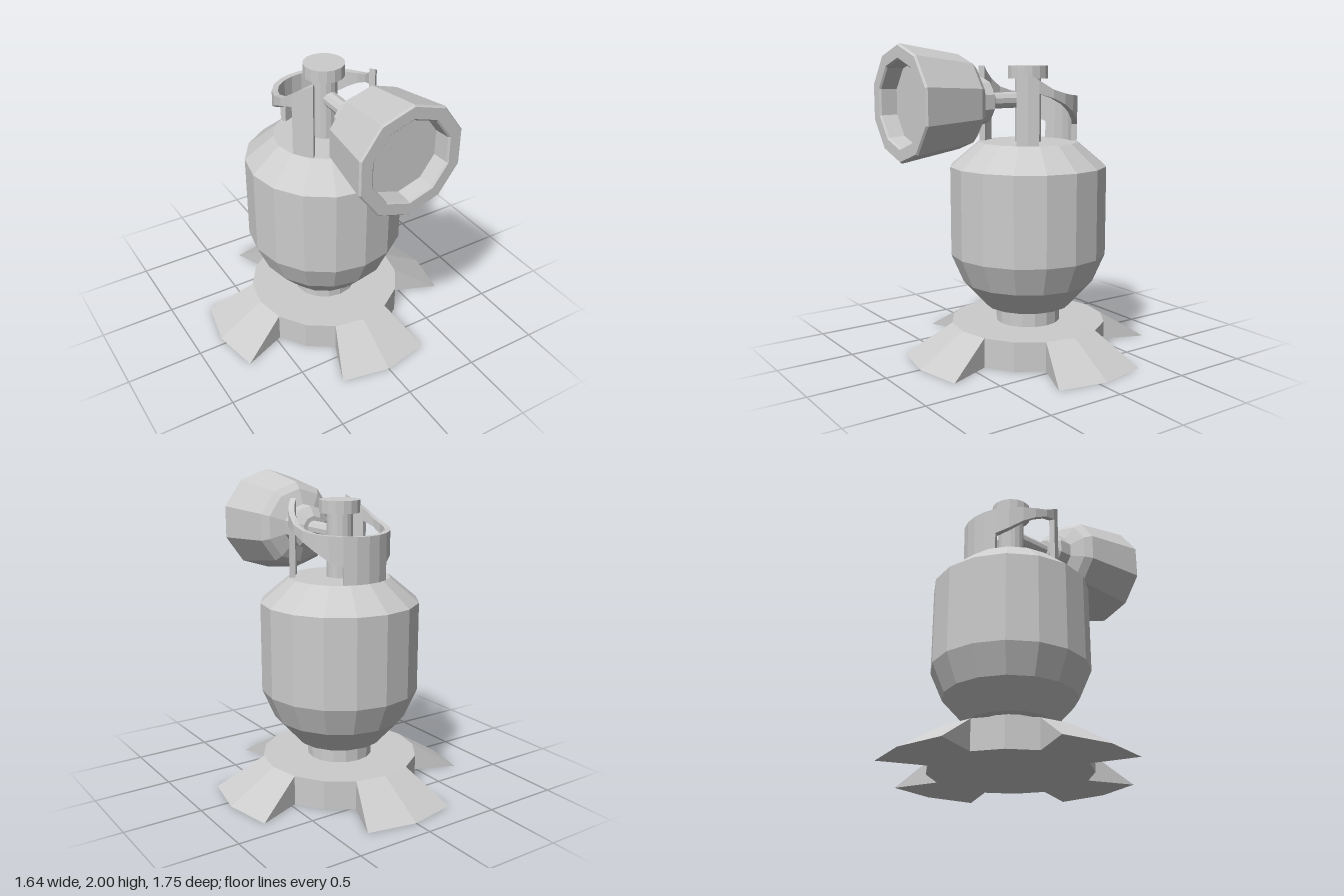
import * as THREE from 'three';

const AXIS_Z = -0.055; // upright axis of the tank
const rad = THREE.MathUtils.degToRad;

// Flat facets for every face
function flat(geometry) {
  const g = geometry.index ? geometry.toNonIndexed() : geometry;
  g.computeVertexNormals();
  return g;
}

// Point on a circle around the y axis
const polar = (deg, r, y) => new THREE.Vector3(Math.sin(rad(deg)) * r, y, Math.cos(rad(deg)) * r);

// Joins a row of closed cross-sections
function loft(sections) {
  const out = [];
  const tri = (a, b, c) => {
    if (new THREE.Triangle(a, b, c).getArea() > 1e-7) for (const p of [a, b, c]) out.push(p.x, p.y, p.z);
  };
  for (let i = 0; i < sections.length - 1; i++) {
    const s = sections[i], n = sections[i + 1];
    for (let j = 0; j < s.length; j++) {
      const k = (j + 1) % s.length;
      tri(s[j], n[j], s[k]);
      tri(n[k], s[k], n[j]);
    }
  }
  const g = new THREE.BufferGeometry();
  g.setAttribute('position', new THREE.Float32BufferAttribute(out, 3));
  return flat(g);
}

const lathe = (profile, sides) =>
  flat(new THREE.LatheGeometry(profile.map(([r, y]) => new THREE.Vector2(r, y)), sides));

// Linear lookup in [key, value] pairs with falling keys
function lookup(table, key) {
  for (let i = 1; i < table.length; i++) {
    const [k0, v0] = table[i - 1], [k1, v1] = table[i];
    if (key >= k1) return v0 + (v1 - v0) * Math.min(1, Math.max(0, (k0 - key) / (k0 - k1)));
  }
  return table[table.length - 1][1];
}

// Sixteen-sided foot plate with four flared legs
function footGeometry() {
  const R = 0.51, FLARE = 0.82, H = 0.19, sections = [];
  const add = (deg, r) => sections.push([
    new THREE.Vector3(0, 0, 0), polar(deg, r, 0), polar(deg, R, H), new THREE.Vector3(0, H, 0),
  ]);
  for (let a = 0; a < 360; a += 90) {
    add(a - 22.5, R);
    for (const d of [-22.5, 0, 22.5]) add(a + d, FLARE);
    add(a + 22.5, R);
    add(a + 45, R);
  }
  sections.push(sections[0]);
  return loft(sections);
}

// Curved valve guard: two front posts, a sloping band and a rear panel
function guardGeometry() {
  const OUT = 0.32, IN = 0.283, FLOOR = 1.375;
  const top = [[0.185, 1.865], [0.077, 1.785], [-0.02, 1.725], [-0.15, 1.688], [-0.38, 1.67]];
  const under = [[0.07, 1.7], [-0.02, 1.672], [-0.14, 1.62], [-0.21, 1.575], [-0.32, 1.49]];
  const half = [
    ...[42, 54.5, 67].map((d) => [d, true]),
    ...[67, 84, 101, 117, 134, 150].map((d) => [d, false]),
    ...[150, 165, 180].map((d) => [d, true]),
  ];
  const all = [...half, ...half.slice(0, -1).reverse().map(([d, solid]) => [360 - d, solid])];
  const sections = all.map(([d, solid]) => {
    const z = AXIS_Z + OUT * Math.cos(rad(d));
    const hi = lookup(top, z), lo = solid ? FLOOR : lookup(under, z);
    return [polar(d, OUT, lo), polar(d, OUT, hi), polar(d, IN, hi), polar(d, IN, lo)];
  });
  // Collapsed sections close both ends
  const collapse = (s) => s.map(() => s[0]);
  return loft([collapse(sections[0]), ...sections, collapse(sections[sections.length - 1])]);
}

export function createModel() {
  const model = new THREE.Group();
  model.name = 'gasLamp';
  const grey = new THREE.MeshStandardMaterial({ color: 0xcccccc });
  grey.name = 'lightGrey';

  const add = (parent, name, geometry) => {
    const mesh = new THREE.Mesh(geometry, grey);
    mesh.name = name;
    parent.add(mesh);
    return mesh;
  };

  // Upright parts share the tank axis
  const body = new THREE.Group();
  body.name = 'body';
  body.position.z = AXIS_Z;
  model.add(body);

  add(body, 'foot', footGeometry());
  add(body, 'neck', lathe([[0.212, 0.185], [0.212, 0.305]], 16));
  add(body, 'tank', lathe([
    [0, 0.3], [0.28, 0.3], [0.43, 0.465], [0.51, 0.65], [0.51, 1.225], [0.325, 1.38], [0, 1.38],
  ], 16));
  add(body, 'valveStem', lathe([[0.085, 1.375], [0.085, 1.79]], 16));
  add(body, 'valveCap', lathe([[0, 1.785], [0.13, 1.785], [0.13, 1.865], [0, 1.865]], 16));
  add(body, 'guard', guardGeometry());

  // Ten-sided lamp head, turned to face forward
  const lamp = new THREE.Group();
  lamp.name = 'lamp';
  lamp.position.y = 1.65;
  lamp.rotation.x = Math.PI / 2;
  model.add(lamp);

  add(lamp, 'lampArm', lathe([[0.05, -0.02], [0.05, 0.25]], 10));
  add(lamp, 'lampCollar', lathe([[0, 0.245], [0.08, 0.245], [0.145, 0.29], [0.145, 0.385]], 10));
  add(lamp, 'lampShade', lathe([
    [0, 0.38], [0.145, 0.38], [0.245, 0.42], [0.287, 0.465], [0.35, 0.858],
    [0.34, 0.87], [0.268, 0.87], [0.257, 0.86], [0.25, 0.76],
  ], 10));
  add(lamp, 'lampLens', lathe([[0.25, 0.76], [0, 0.76]], 10));

  return model;
}
